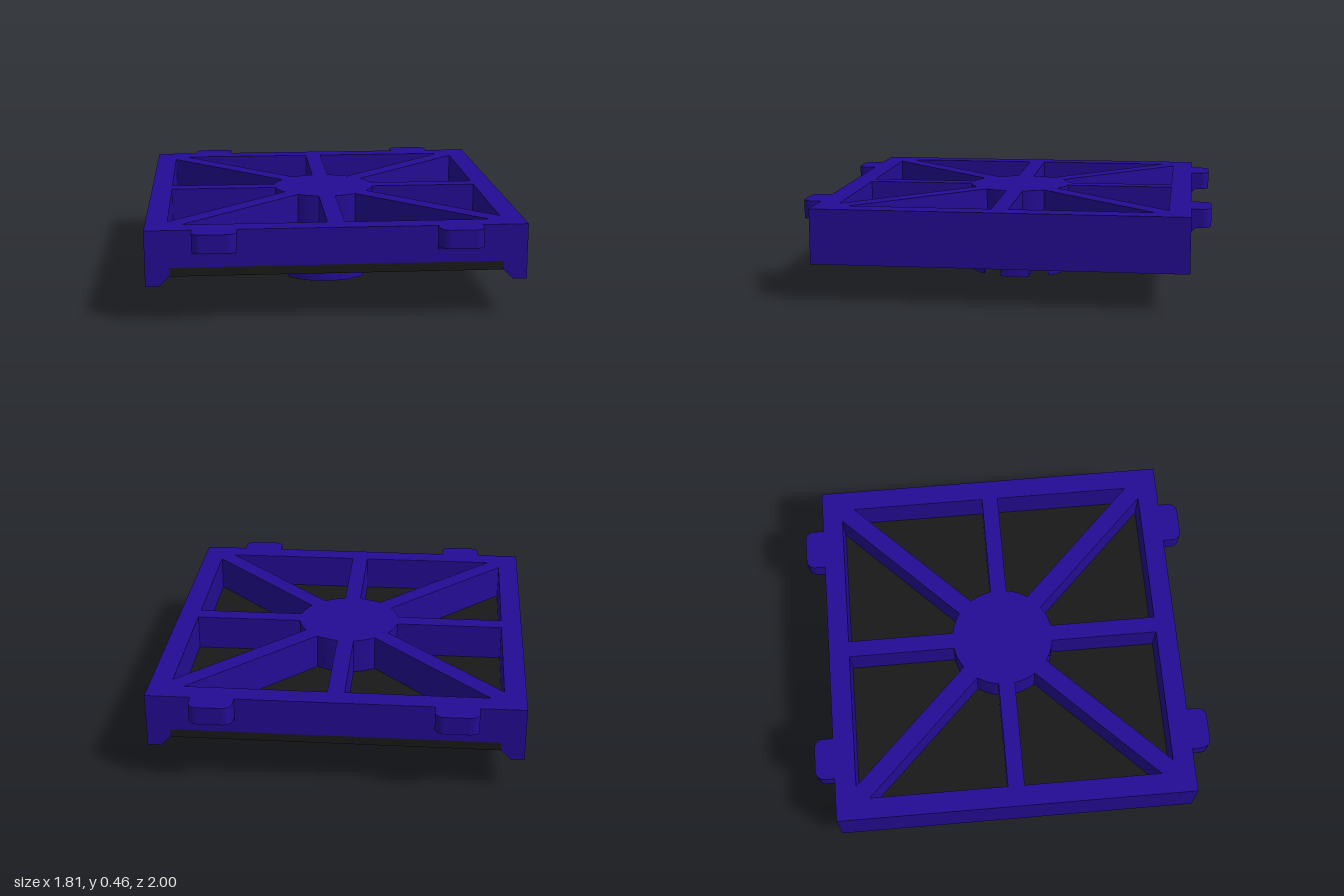
import * as THREE from 'three';
import { toCreasedNormals } from 'three/addons/utils/BufferGeometryUtils.js';

const blue = new THREE.MeshStandardMaterial({ color: 0x240c94 });
const black = new THREE.MeshStandardMaterial({ color: 0x191919 });

const TOP = 0.455, FLOOR = 0.275, HALF = 0.905, INNER = 0.8, HUB = 0.26;

function add(parent, name, geometry, material = blue) {
  const mesh = new THREE.Mesh(geometry, material);
  mesh.name = name;
  parent.add(mesh);
  return mesh;
}

function extrude(points, depth) {
  const shape = points instanceof THREE.Shape ? points
    : new THREE.Shape(points.map(([x, y]) => new THREE.Vector2(x, y)));
  const g = new THREE.ExtrudeGeometry(shape, { depth, bevelEnabled: false, curveSegments: 8 });
  return toCreasedNormals(g, 0.6);
}

// Arc of the hub circle as [x, z] points
function arc(from, to, n = 12) {
  return Array.from({ length: n + 1 }, (_, i) => {
    const a = from + (to - from) * i / n;
    return [HUB * Math.cos(a), HUB * Math.sin(a)];
  });
}

// Solid through convex [x, z] sections stacked at the given heights
function loft(heights, section) {
  const rings = heights.map((y, k) => section(k).map(([x, z]) => [x, y, z]));
  const n = rings[0].length, pos = [];
  const tri = (a, b, c) => pos.push(...a, ...b, ...c);
  for (let k = 0; k < rings.length - 1; k++) {
    const A = rings[k], B = rings[k + 1];
    for (let i = 0; i < n; i++) {
      const j = (i + 1) % n;
      tri(A[i], B[i], A[j]);
      tri(A[j], B[i], B[j]);
    }
  }
  const bottom = rings[0], top = rings[rings.length - 1];
  for (let i = 1; i < n - 1; i++) {
    tri(bottom[0], bottom[i], bottom[i + 1]);
    tri(top[0], top[i + 1], top[i]);
  }
  const g = new THREE.BufferGeometry();
  g.setAttribute('position', new THREE.Float32BufferAttribute(pos, 3));
  return toCreasedNormals(g, 0.6);
}

// Square frame with eight openings, leaving spokes around the hub
function latticeGeometry() {
  const rib = 0.042, diagonal = 0.046;
  const shape = new THREE.Shape([[-1, -1], [1, -1], [1, 1], [-1, 1]]
    .map(([x, y]) => new THREE.Vector2(x * HALF, y * HALF)));
  const opening = [
    [INNER, rib], [INNER, INNER - diagonal * Math.SQRT2],
    ...arc(Math.PI / 4 - Math.asin(diagonal / HUB), Math.asin(rib / HUB), 5),
  ];
  for (const sx of [1, -1]) for (const sy of [1, -1]) for (const swap of [false, true]) {
    shape.holes.push(new THREE.Path(opening.map(([x, y]) => swap
      ? new THREE.Vector2(y * sx, x * sy) : new THREE.Vector2(x * sx, y * sy))));
  }
  return extrude(shape, TOP - FLOOR).rotateX(-Math.PI / 2).translate(0, FLOOR, 0);
}

// Tab with rounded outer corners, in plan
function tabGeometry() {
  const w = 0.105, r = 0.045, z0 = HALF - 0.02;
  const s = new THREE.Shape();
  s.moveTo(-w, z0);
  s.lineTo(w, z0);
  s.lineTo(w, 1 - r);
  s.absarc(w - r, 1 - r, r, 0, Math.PI / 2);
  s.absarc(-w + r, 1 - r, r, Math.PI / 2, Math.PI);
  s.lineTo(-w, z0);
  return extrude(s, 0.09).rotateX(Math.PI / 2).translate(0, TOP, 0);
}

// Concave fillet joining the underside of a tab to the frame
function filletGeometry() {
  const r = 0.035, y = TOP - 0.09, s = new THREE.Shape();
  s.moveTo(HALF - 0.01, y);
  s.lineTo(HALF - 0.01, y - r);
  s.lineTo(HALF, y - r);
  s.absarc(HALF + r, y - r, r, Math.PI, Math.PI / 2, true);
  return extrude(s, 0.21).rotateY(-Math.PI / 2).translate(0.105, 0, 0);
}

export function createModel() {
  const model = new THREE.Group();
  model.name = 'panel';

  add(model, 'frameAndSpokes', latticeGeometry());
  add(model, 'basePlate', new THREE.BoxGeometry(1.64, 0.045, 2 * HALF - 0.004), black)
    .position.y = 0.2545;

  // Hub passing through the plate
  const hub = new THREE.CylinderGeometry(HUB, HUB, TOP - 0.175, 48);
  add(model, 'hub', hub).position.y = (TOP + 0.175) / 2;

  // Parts that appear twice, turned half way round
  const skirt = extrude([[0.79, 0.276], [0.79, 0.235], [0.84, 0.185], [HALF, 0.185], [HALF, 0.276]],
    2 * HALF).translate(0, 0, -HALF);
  const tab = tabGeometry(), fillet = filletGeometry();

  // Slots between the prongs narrow into an arch at their top
  const heights = [0, 0.12, 0.15, 0.168, 0.178];
  const inset = [0, 0, 0.004, 0.012, 0.026];
  const outerProng = loft(heights, k => {
    const a = Math.asin((0.168 - inset[k]) / HUB);
    return arc(a, Math.PI - a, 16);
  });
  const innerProng = loft(heights, k => {
    const b = 0.074 + inset[k], gap = 0.05 - inset[k], a = Math.asin(b / HUB);
    return [[gap, -b], ...arc(-a, a, 8), [gap, b]];
  });

  for (const turn of [0, Math.PI]) {
    const half = new THREE.Group();
    half.name = turn ? 'backHalf' : 'frontHalf';
    half.rotation.y = turn;
    add(half, 'sideSkirt', skirt);
    add(half, 'outerProng', outerProng);
    add(half, 'innerProng', innerProng);
    for (const x of [-0.58, 0.58]) {
      add(half, 'tab', tab).position.x = x;
      add(half, 'tabFillet', fillet).position.x = x;
    }
    model.add(half);
  }
  return model;
}
